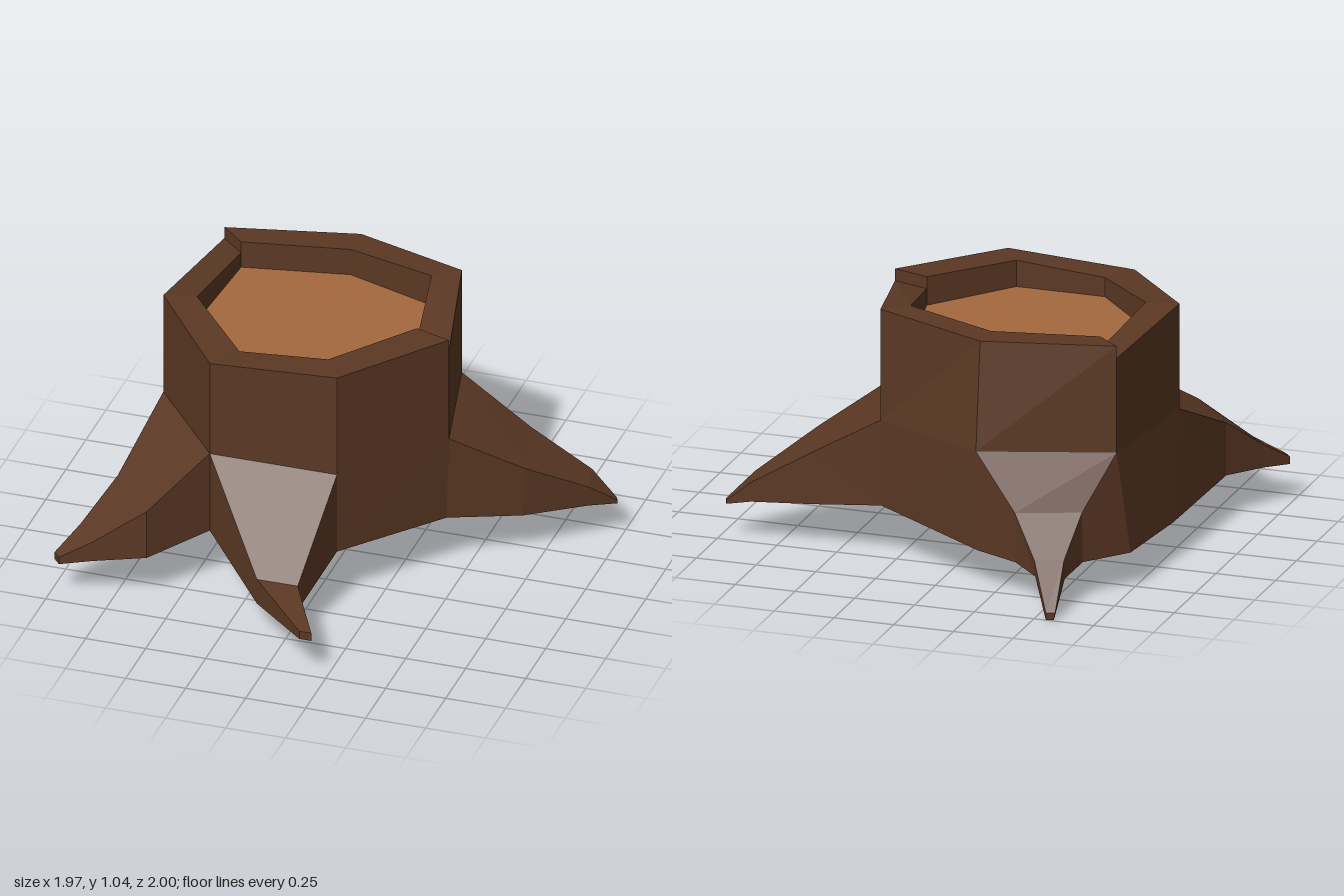
import * as THREE from 'three';

// Seven corners of the stump, running front -> right -> back -> left.
// mid / bottom / top: [x, y, z]; inner: [x, z]; drop: lower rim height where the next edge starts
const corners = [
  { mid: [-0.43, 0.58, 0.41], bottom: [-0.43, 0.23, 0.41], top: [-0.43, 0.99, 0.41], inner: [-0.35, 0.28] },
  { mid: [0.1, 0.58, 0.41], bottom: [0.1, 0.23, 0.41], top: [0.1, 1.02, 0.41], inner: [0.02, 0.28] },
  { mid: [0.43, 0.58, 0], bottom: [0.42, 0.22, 0], top: [0.43, 1.03, 0], inner: [0.28, -0.05], drop: 0.98 },
  { mid: [0.31, 0.58, -0.52], bottom: [0.31, 0.22, -0.51], top: [0.31, 1.045, -0.52], inner: [0.21, -0.44] },
  { mid: [-0.17, 0.58, -0.75], bottom: [-0.17, 0.16, -0.73], top: [-0.17, 1.025, -0.7], inner: [-0.17, -0.57] },
  { mid: [-0.7, 0.58, -0.58], bottom: [-0.74, 0.15, -0.53], top: [-0.7, 1.025, -0.58], inner: [-0.6, -0.49], drop: 0.975 },
  { mid: [-0.76, 0.58, 0], bottom: [-0.78, 0.15, -0.13], top: [-0.76, 1.02, 0], inner: [-0.63, -0.03] },
];

// Each root grows from the wall after corner `edge`.
// Sections: top left, top right, bottom right, bottom left
const roots = [
  { name: 'frontRoot', edge: 0, sections: [
    [[-0.13, 0.23, 0.72], [0.04, 0.23, 0.72], [0.04, 0.12, 0.72], [-0.13, 0.12, 0.72]],
    [[0.14, 0.195, 1], [0.19, 0.195, 1], [0.19, 0.16, 1], [0.14, 0.16, 1]],
  ] },
  { name: 'leftRoot', edge: 2, sections: [
    [[0.69, 0.4, -0.17], [0.61, 0.4, -0.49], [0.61, 0.185, -0.49], [0.68, 0.185, -0.17]],
    [[0.89, 0.25, -0.36], [0.86, 0.25, -0.5], [0.86, 0.17, -0.5], [0.89, 0.165, -0.36]],
    [[0.98, 0.155, -0.455], [0.97, 0.155, -0.475], [0.97, 0.14, -0.475], [0.98, 0.14, -0.455]],
  ] },
  { name: 'backRoot', edge: 4, sections: [
    [[-0.35, 0.36, -0.8], [-0.6, 0.36, -0.71], [-0.6, 0.15, -0.7], [-0.35, 0.15, -0.79]],
    [[-0.46, 0.2, -0.88], [-0.57, 0.2, -0.84], [-0.57, 0.12, -0.83], [-0.46, 0.13, -0.87]],
    [[-0.55, 0.03, -1], [-0.585, 0.03, -0.99], [-0.58, 0, -0.99], [-0.55, 0, -1]],
  ] },
  { name: 'rightRoot', edge: 6, sections: [
    [[-0.82, 0.4, 0.39], [-0.62, 0.4, 0.63], [-0.62, 0.19, 0.63], [-0.82, 0.18, 0.39]],
    [[-0.915, 0.26, 0.57], [-0.83, 0.25, 0.68], [-0.83, 0.165, 0.68], [-0.915, 0.165, 0.57]],
    [[-0.985, 0.18, 0.685], [-0.955, 0.18, 0.72], [-0.955, 0.15, 0.72], [-0.985, 0.15, 0.685]],
  ] },
];

const FLOOR = 0.91;

// Flat-faced mesh from a list of polygons, each split into a fan
function polyMesh(name, polygons, material) {
  const positions = [];
  for (const p of polygons) {
    for (let i = 1; i < p.length - 1; i++) positions.push(...p[0], ...p[i], ...p[i + 1]);
  }
  const geometry = new THREE.BufferGeometry();
  geometry.setAttribute('position', new THREE.Float32BufferAttribute(positions, 3));
  geometry.computeVertexNormals();
  const mesh = new THREE.Mesh(geometry, material);
  mesh.name = name;
  return mesh;
}

export function createModel() {
  const bark = new THREE.MeshStandardMaterial({ color: 0x5b3824 });
  bark.name = 'bark';
  const wood = new THREE.MeshStandardMaterial({ color: 0xa5693f });
  wood.name = 'cut wood';

  const group = new THREE.Group();
  group.name = 'treeStump';
  const trunk = [], rim = [], underside = [];
  const center = [-0.17, 0.19, -0.12];
  const innerAt = (c, y) => [c.inner[0], y, c.inner[1]];
  const rooted = new Set(roots.map((r) => r.edge));

  corners.forEach((a, i) => {
    const b = corners[(i + 1) % corners.length];
    const startY = a.drop ?? a.top[1];
    const aTop = [a.top[0], startY, a.top[2]];
    const aInner = innerAt(a, startY);
    const bInner = innerAt(b, b.top[1]);

    // Walls: upper band everywhere, lower band where no root grows
    trunk.push([a.mid, b.mid, b.top, aTop]);
    if (!rooted.has(i)) trunk.push([a.bottom, b.bottom, b.mid, a.mid]);

    // Rim top, inner wall, and the small step at chipped corners
    rim.push([aTop, b.top, bInner, aInner]);
    rim.push([aInner, bInner, innerAt(b, FLOOR), innerAt(a, FLOOR)]);
    if (a.drop) rim.push([aTop, aInner, innerAt(a, a.top[1]), a.top]);

    underside.push([center, b.bottom, a.bottom]);
  });

  group.add(polyMesh('trunk', trunk, bark));
  group.add(polyMesh('rim', rim, bark));
  group.add(polyMesh('underside', underside, bark));
  group.add(polyMesh('cutWood', [corners.map((c) => innerAt(c, FLOOR))], wood));

  // Roots lofted out of the wall, closed at the tip
  for (const { name, edge, sections } of roots) {
    const a = corners[edge], b = corners[(edge + 1) % corners.length];
    const rings = [[a.mid, b.mid, b.bottom, a.bottom], ...sections];
    const faces = [];
    for (let s = 1; s < rings.length; s++) {
      for (let k = 0; k < 4; k++) {
        const n = (k + 1) % 4;
        faces.push([rings[s][k], rings[s][n], rings[s - 1][n], rings[s - 1][k]]);
      }
    }
    faces.push([...rings[rings.length - 1]].reverse());
    group.add(polyMesh(name, faces, bark));
  }
  return group;
}
